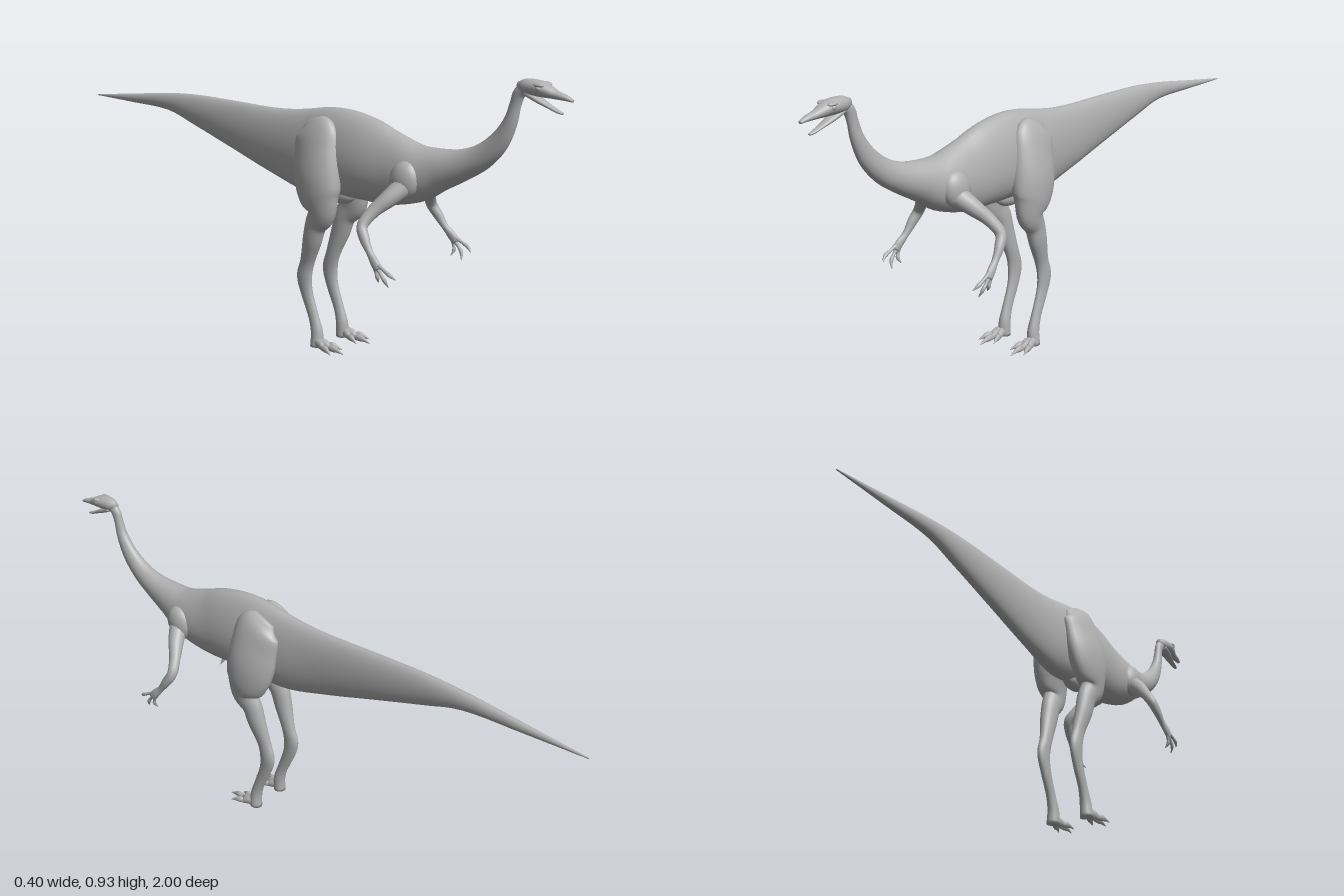
import * as THREE from 'three';

const skin = new THREE.MeshStandardMaterial({ color: 0xb0b0b0 });
skin.name = 'grey skin';

// Smooth closed skin through sections [x, y, z, halfWidth, halfDepth, taper].
// A positive taper narrows the upper (or front) side of a section.
function loft(name, sections, sides = 20, perSpan = 5) {
  const path = new THREE.CatmullRomCurve3(
    sections.map(s => new THREE.Vector3(s[0], s[1], s[2])), false, 'catmullrom', 0.5);
  const size = new THREE.CatmullRomCurve3(
    sections.map(s => new THREE.Vector3(s[3], s[4], s[5] || 0)), false, 'catmullrom', 0.5);
  const n = (sections.length - 1) * perSpan;
  const pos = [], idx = [];
  for (let i = -1; i <= n + 1; i++) {
    const t = Math.min(1, Math.max(0, i / n));
    const cap = i < 0 || i > n ? 0.01 : 1;
    const c = path.getPoint(t), r = size.getPoint(t), T = path.getTangent(t);
    const side = new THREE.Vector3(1, 0, 0).addScaledVector(T, -T.x).normalize();
    const up = new THREE.Vector3().crossVectors(T, side);
    for (let j = 0; j < sides; j++) {
      const a = j / sides * Math.PI * 2, s = Math.sin(a);
      const p = c.clone()
        .addScaledVector(side, Math.cos(a) * r.x * (1 - r.z * s) * cap)
        .addScaledVector(up, s * r.y * cap);
      pos.push(p.x, p.y, p.z);
    }
  }
  for (let i = 0; i < n + 2; i++) {
    for (let j = 0; j < sides; j++) {
      const k = (j + 1) % sides, a = i * sides, b = a + sides;
      idx.push(a + j, a + k, b + j, a + k, b + k, b + j);
    }
  }
  const g = new THREE.BufferGeometry();
  g.setAttribute('position', new THREE.Float32BufferAttribute(pos, 3));
  g.setIndex(idx);
  g.computeVertexNormals();
  const m = new THREE.Mesh(g, skin);
  m.name = name;
  return m;
}

function blob(name, x, y, z, rx, ry, rz, tilt = 0) {
  const m = new THREE.Mesh(new THREE.SphereGeometry(1, 20, 14), skin);
  m.name = name;
  m.position.set(x, y, z);
  m.scale.set(rx, ry, rz);
  m.rotation.x = tilt;
  return m;
}

export function createModel() {
  const model = new THREE.Group();
  model.name = 'longNeckedDinosaur';

  // Tail, trunk and neck in one skin
  model.add(loft('body', [
    [0, 0.674, -1.0, 0.002, 0.002, 0],
    [0, 0.686, -0.8, 0.011, 0.015, 0],
    [0, 0.697, -0.6, 0.019, 0.030, 0],
    [0, 0.684, -0.45, 0.025, 0.055, 0],
    [0, 0.658, -0.26, 0.032, 0.083, 0],
    [0, 0.631, -0.07, 0.040, 0.111, 0],
    [0, 0.621, 0.08, 0.054, 0.136, 0.1],
    [0, 0.637, 0.20, 0.066, 0.138, 0.15],
    [0, 0.633, 0.30, 0.070, 0.132, 0.15],
    [0, 0.619, 0.40, 0.067, 0.116, 0.15],
    [0, 0.620, 0.50, 0.068, 0.090, 0.1],
    [0, 0.641, 0.58, 0.053, 0.064, 0],
    [0, 0.668, 0.66, 0.039, 0.046, 0],
    [0, 0.702, 0.725, 0.030, 0.037, 0],
    [0, 0.752, 0.778, 0.023, 0.030, 0],
    [0, 0.810, 0.811, 0.018, 0.021, 0],
    [0, 0.860, 0.825, 0.014, 0.017, 0],
    [0, 0.895, 0.837, 0.014, 0.018, 0],
    [0, 0.915, 0.865, 0.014, 0.014, 0],
  ], 32));
  model.add(blob('pelvisTip', 0, 0.505, 0.20, 0.028, 0.033, 0.06));

  // Head with open beak
  model.add(loft('upperHead', [
    [0, 0.914, 0.832, 0.010, 0.012],
    [0, 0.915, 0.860, 0.023, 0.022],
    [0, 0.914, 0.900, 0.028, 0.022, -0.1],
    [0, 0.909, 0.925, 0.023, 0.018, -0.1],
    [0, 0.903, 0.950, 0.015, 0.012],
    [0, 0.898, 0.980, 0.011, 0.008],
    [0, 0.892, 1.000, 0.006, 0.004],
  ]));
  model.add(loft('lowerJaw', [
    [0, 0.900, 0.860, 0.019, 0.010],
    [0, 0.885, 0.895, 0.018, 0.009],
    [0, 0.870, 0.930, 0.012, 0.006],
    [0, 0.860, 0.955, 0.009, 0.005],
    [0, 0.855, 0.972, 0.005, 0.003],
  ], 14));

  for (const s of [1, -1]) {
    const tag = s > 0 ? 'left' : 'right';
    const limb = (name, list, sides) =>
      loft(tag + name, list.map(([x, ...rest]) => [x * s, ...rest]), sides);

    model.add(blob(tag + 'Eye', s * 0.024, 0.917, 0.907, 0.006, 0.007, 0.008));
    model.add(blob(tag + 'Brow', s * 0.020, 0.926, 0.907, 0.010, 0.006, 0.016));
    model.add(blob(tag + 'Shoulder', s * 0.055, 0.605, 0.495, 0.033, 0.058, 0.05, 0.3));

    // Thigh, shin, ankle and upright foot bone
    model.add(limb('Leg', [
      [0.040, 0.735, 0.130, 0.012, 0.040],
      [0.050, 0.700, 0.145, 0.032, 0.080, -0.15],
      [0.058, 0.640, 0.155, 0.044, 0.088, -0.2],
      [0.067, 0.570, 0.165, 0.050, 0.090, -0.15],
      [0.075, 0.510, 0.178, 0.043, 0.080, -0.1],
      [0.075, 0.455, 0.190, 0.033, 0.052],
      [0.070, 0.410, 0.163, 0.028, 0.038],
      [0.068, 0.355, 0.146, 0.025, 0.034],
      [0.062, 0.280, 0.121, 0.018, 0.026],
      [0.062, 0.225, 0.108, 0.016, 0.029],
      [0.061, 0.170, 0.119, 0.014, 0.023],
      [0.061, 0.100, 0.147, 0.014, 0.019],
      [0.061, 0.050, 0.162, 0.018, 0.021],
      [0.063, 0.004, 0.163, 0.021, 0.021],
    ], 24));

    // Three spread toes ending in claws
    [[-0.030, 0.245], [0, 0.277], [0.031, 0.250]].forEach(([dx, tip], i) => {
      const at = (f, y, a, b) => [0.065 + dx * f, y, 0.16 + (tip - 0.16) * f, a, b];
      model.add(limb('Toe' + (i + 1), [
        at(0, 0.022, 0.014, 0.018), at(0.35, 0.018, 0.010, 0.014),
        at(0.5, 0.013, 0.008, 0.010), at(0.65, 0.014, 0.009, 0.011),
        at(0.8, 0.012, 0.006, 0.007), at(1, 0.005, 0.001, 0.001),
      ], 10));
    });

    // Arm from shoulder to palm
    model.add(limb('Arm', [
      [0.060, 0.590, 0.500, 0.030, 0.032],
      [0.100, 0.555, 0.475, 0.026, 0.026],
      [0.135, 0.520, 0.448, 0.019, 0.020],
      [0.166, 0.480, 0.432, 0.017, 0.017],
      [0.178, 0.445, 0.450, 0.014, 0.016],
      [0.183, 0.410, 0.475, 0.010, 0.011],
      [0.188, 0.385, 0.498, 0.010, 0.015],
      [0.190, 0.367, 0.512, 0.008, 0.013],
    ], 16));

    // Clawed fingers
    [[0.183, 0.348, 0.572], [0.178, 0.318, 0.542], [0.176, 0.325, 0.503]].forEach(([x, y, z], i) => {
      const base = [0.189, 0.383 - i * 0.006, 0.508 - i * 0.004];
      const at = (f, bulge, r) => [
        base[0] + (x - base[0]) * f + bulge, base[1] + (y - base[1]) * f,
        base[2] + (z - base[2]) * f + bulge, r, r];
      model.add(limb('Finger' + (i + 1), [
        at(0, 0, 0.007), at(0.35, 0.004, 0.005), at(0.6, 0.006, 0.006),
        at(0.8, 0.004, 0.004), at(1, 0, 0.001),
      ], 8));
    });
  }
  return model;
}
